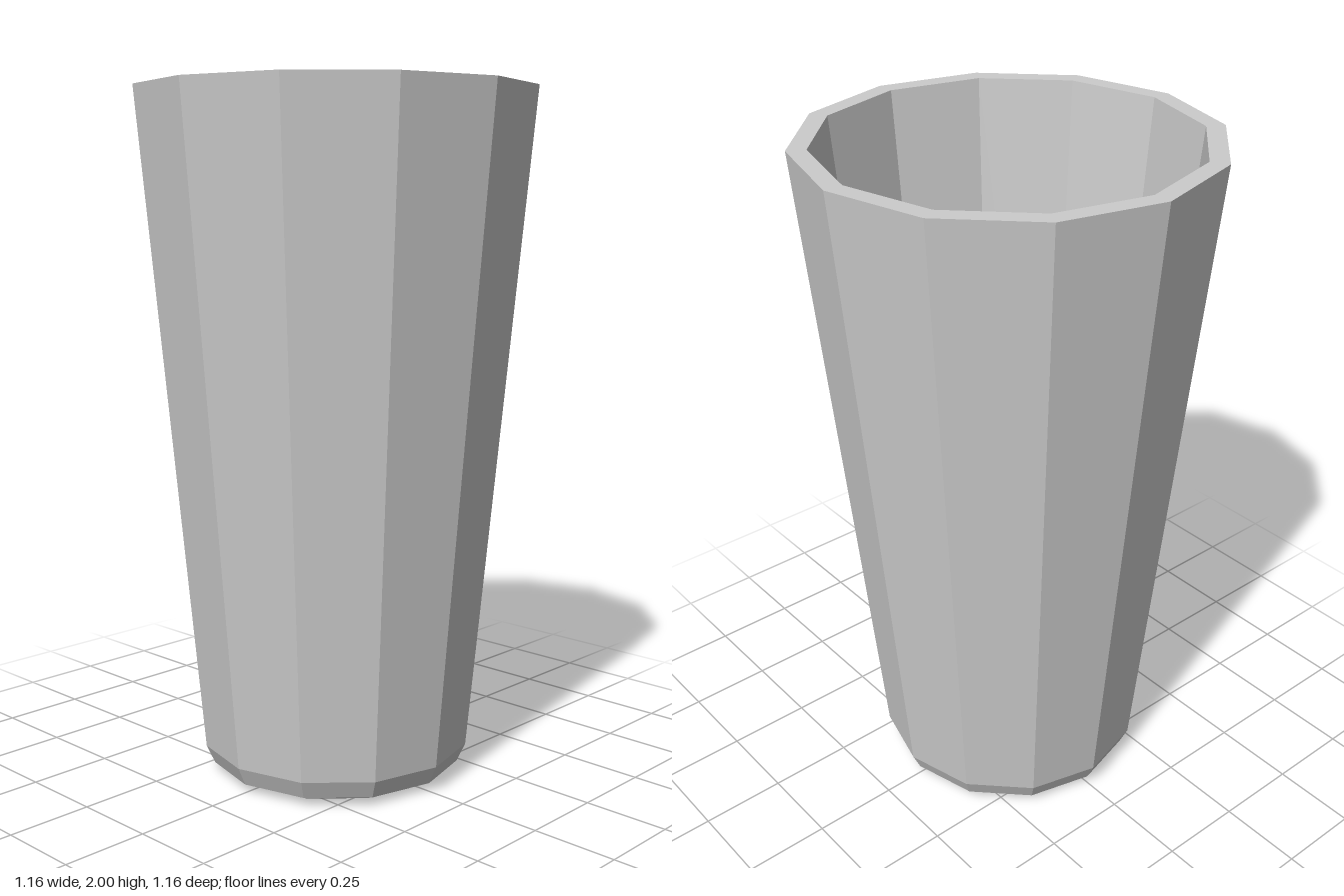
import * as THREE from 'three';

export function createModel() {
  const group = new THREE.Group();
  group.name = 'tumbler';
  const material = new THREE.MeshStandardMaterial({ color: 0xcccccc, flatShading: true });

  // Closed wall section: underside, bevelled foot, outer wall, rim, inner wall, inner floor
  const profile = [
    [0, 0], [0.32, 0], [0.375, 0.025], [0.4, 0.08],
    [0.578, 2], [0.524, 2],
    [0.35, 0.1], [0.325, 0.075], [0.27, 0.055], [0, 0.055],
  ].map(([r, y]) => new THREE.Vector2(r, y));

  // Twelve-sided cup with corners on the x and z axes
  const cup = new THREE.Mesh(new THREE.LatheGeometry(profile, 12), material);
  cup.name = 'cup';
  group.add(cup);
  return group;
}
